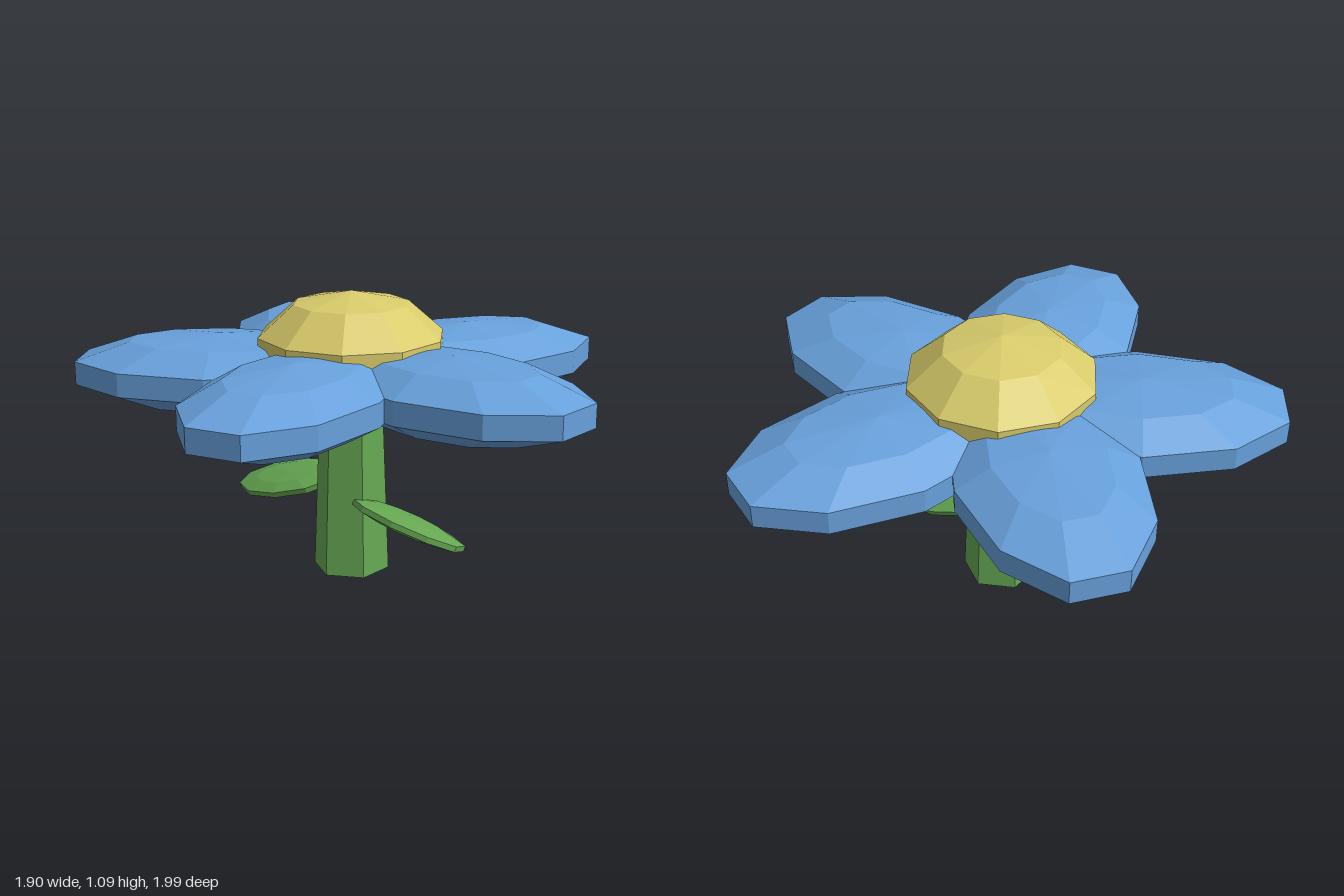
import * as THREE from 'three';

const CX = -0.055; // flower axis

// Faceted normals for any geometry
function faceted(geometry) {
  const g = geometry.toNonIndexed();
  g.computeVertexNormals();
  return g;
}

// Low-poly ellipsoid: ten sides, five bands, with a flat rim of the given half sizes
function blob(a, h, b) {
  const k = 1 / Math.sin(Math.PI * 0.4); // the rim ring is smaller than the sphere
  const g = new THREE.SphereGeometry(1, 10, 5, Math.PI / 10);
  g.scale(a * k, h, b * k);
  return faceted(g);
}

export function createModel() {
  const group = new THREE.Group();
  const petalBlue = new THREE.MeshStandardMaterial({ color: 0x68a1dc });
  petalBlue.name = 'petal blue';
  const centreYellow = new THREE.MeshStandardMaterial({ color: 0xd8cb6b });
  centreYellow.name = 'centre yellow';
  const stemGreen = new THREE.MeshStandardMaterial({ color: 0x66a853 });
  stemGreen.name = 'stem green';

  const add = (name, geometry, material, x, y, z) => {
    const mesh = new THREE.Mesh(geometry, material);
    mesh.name = name;
    mesh.position.set(x, y, z);
    group.add(mesh);
    return mesh;
  };

  // Stem: tapered hexagonal post
  add('stem', faceted(new THREE.CylinderGeometry(0.118, 0.146, 0.75, 6)), stemGreen, CX, 0.375, 0.003);

  // Flower centre
  add('flowerCentre', blob(0.353, 0.237, 0.353), centreYellow, CX, 0.848, 0);

  // Petals: x, z and heading in degrees
  const petalShape = blob(0.557, 0.143, 0.33);
  const petals = [
    [0.42, 0, 0],
    [0.122, -0.468, 69.8],
    [-0.455, -0.252, 144.5],
    [-0.46, 0.291, 216],
    [0.08, 0.455, 285],
  ];
  petals.forEach(([x, z, deg], i) => {
    const petal = add('petal' + (i + 1), petalShape, petalBlue, x, 0.772, z);
    petal.rotation.y = THREE.MathUtils.degToRad(deg);
  });

  // Leaves: yawed, drooping and slightly rolled, one turned half way round
  const leafShape = blob(0.245, 0.035, 0.13);
  const leaves = [
    ['leftLeaf', 0.23, 0.24, 0.012, 0],
    ['rightLeaf', -0.385, 0.282, -0.005, Math.PI],
  ];
  for (const [name, x, y, z, turn] of leaves) {
    const leaf = add(name, leafShape, stemGreen, x, y, z);
    leaf.rotation.set(-0.3, turn + 0.13, -0.22, 'YZX');
  }

  return group;
}
